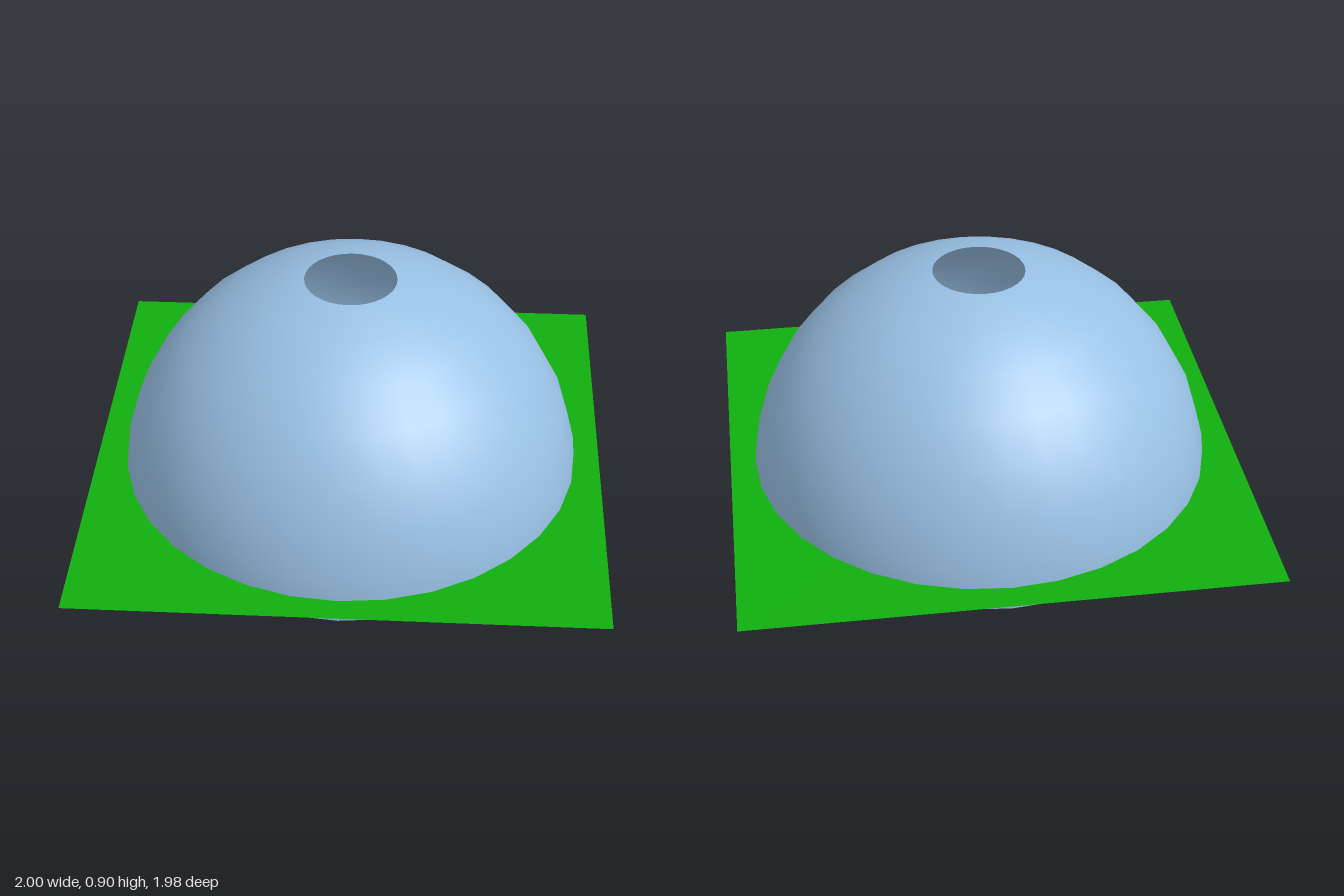
import * as THREE from 'three';

const mat = (name, color, extra = {}) => {
  const m = new THREE.MeshStandardMaterial({ color, ...extra });
  m.name = name;
  return m;
};

export function createModel() {
  const model = new THREE.Group();
  model.name = 'domedHomestead';
  const sky = mat('skyBlue', 0x98c0e4, { side: THREE.DoubleSide });
  const grass = mat('grassGreen', 0x10b00e, { side: THREE.DoubleSide });
  const leaf = mat('leafGreen', 0x0c5a1c, { flatShading: true });
  const brick = mat('brickRed', 0x7a3320, { flatShading: true });
  const wood = mat('darkWood', 0x4a2012, { flatShading: true });
  const stone = mat('paleStone', 0xb4b4b4, { flatShading: true });
  const GROUND = 0.09;

  const add = (name, geo, material, x, y, z, parent = model) => {
    const mesh = new THREE.Mesh(geo, material);
    mesh.name = name;
    mesh.position.set(x, y, z);
    parent.add(mesh);
    return mesh;
  };

  // Open-topped half sphere, reaching slightly below the ground sheet
  const step = Math.PI / 16;
  const dome = new THREE.SphereGeometry(1, 32, 7, 0, Math.PI * 2, step, Math.PI / 2 - step);
  add('skyDome', dome, sky, 0.007, 0, 0.005).scale.set(0.903, 0.92, 0.903);

  // Flat ground
  add('ground', new THREE.PlaneGeometry(2, 1.98).rotateX(-Math.PI / 2), grass, 0, GROUND, 0);

  // House with a gable roof
  const house = new THREE.Group();
  house.name = 'house';
  house.position.set(0.004, GROUND, -0.027);
  model.add(house);
  add('houseWalls', new THREE.BoxGeometry(0.1, 0.07, 0.11), brick, 0, 0.035, 0, house);
  const gable = new THREE.Shape([
    new THREE.Vector2(-0.064, 0), new THREE.Vector2(0.064, 0), new THREE.Vector2(0, 0.05),
  ]);
  const roof = new THREE.ExtrudeGeometry(gable, { depth: 0.112, bevelEnabled: false });
  roof.translate(0, 0, -0.056).rotateY(Math.PI / 2);
  add('houseRoof', roof, brick, 0, 0.07, 0, house);
  add('roofRidge', new THREE.BoxGeometry(0.114, 0.008, 0.01), wood, 0, 0.119, 0, house);
  for (const s of [-1, 1]) {
    add('roofEdge', new THREE.BoxGeometry(0.114, 0.008, 0.008), wood, 0, 0.071, s * 0.062, house);
  }
  add('chimney', new THREE.BoxGeometry(0.014, 0.05, 0.014), stone, 0.012, 0.105, 0.012, house);
  add('door', new THREE.BoxGeometry(0.025, 0.045, 0.006), wood, 0, 0.0225, 0.056, house);

  // Evergreen trees around the house
  const trees = [[-0.02, -0.14, 0.03], [0.065, -0.123, 0.034], [0.007, 0.096, 0.028], [0.092, 0.096, 0.032]];
  for (const [x, z, r] of trees) {
    const tree = new THREE.Group();
    tree.name = 'tree';
    tree.position.set(x, GROUND, z);
    model.add(tree);
    add('trunk', new THREE.CylinderGeometry(r * 0.2, r * 0.25, 0.03, 6), wood, 0, 0.015, 0, tree);
    for (let i = 0; i < 3; i++) {
      add('foliage', new THREE.ConeGeometry(r * (1 - i * 0.22), 0.04, 7), leaf, 0, 0.045 + i * 0.022, 0, tree);
    }
  }

  // Round russet tree with a shrub beside it
  add('russetTrunk', new THREE.CylinderGeometry(0.008, 0.011, 0.06, 8), wood, 0.135, GROUND + 0.03, 0.014);
  add('russetCrown', new THREE.IcosahedronGeometry(0.037, 1), brick, 0.135, GROUND + 0.08, 0.014);
  add('shrub', new THREE.IcosahedronGeometry(0.022, 1), leaf, 0.1, GROUND + 0.015, 0);

  // Stump and boulder
  add('stump', new THREE.CylinderGeometry(0.012, 0.015, 0.02, 7), wood, -0.073, GROUND + 0.01, 0.08);
  add('boulder', new THREE.BoxGeometry(0.02, 0.02, 0.024), stone, -0.063, GROUND + 0.01, 0.003);

  return model;
}
